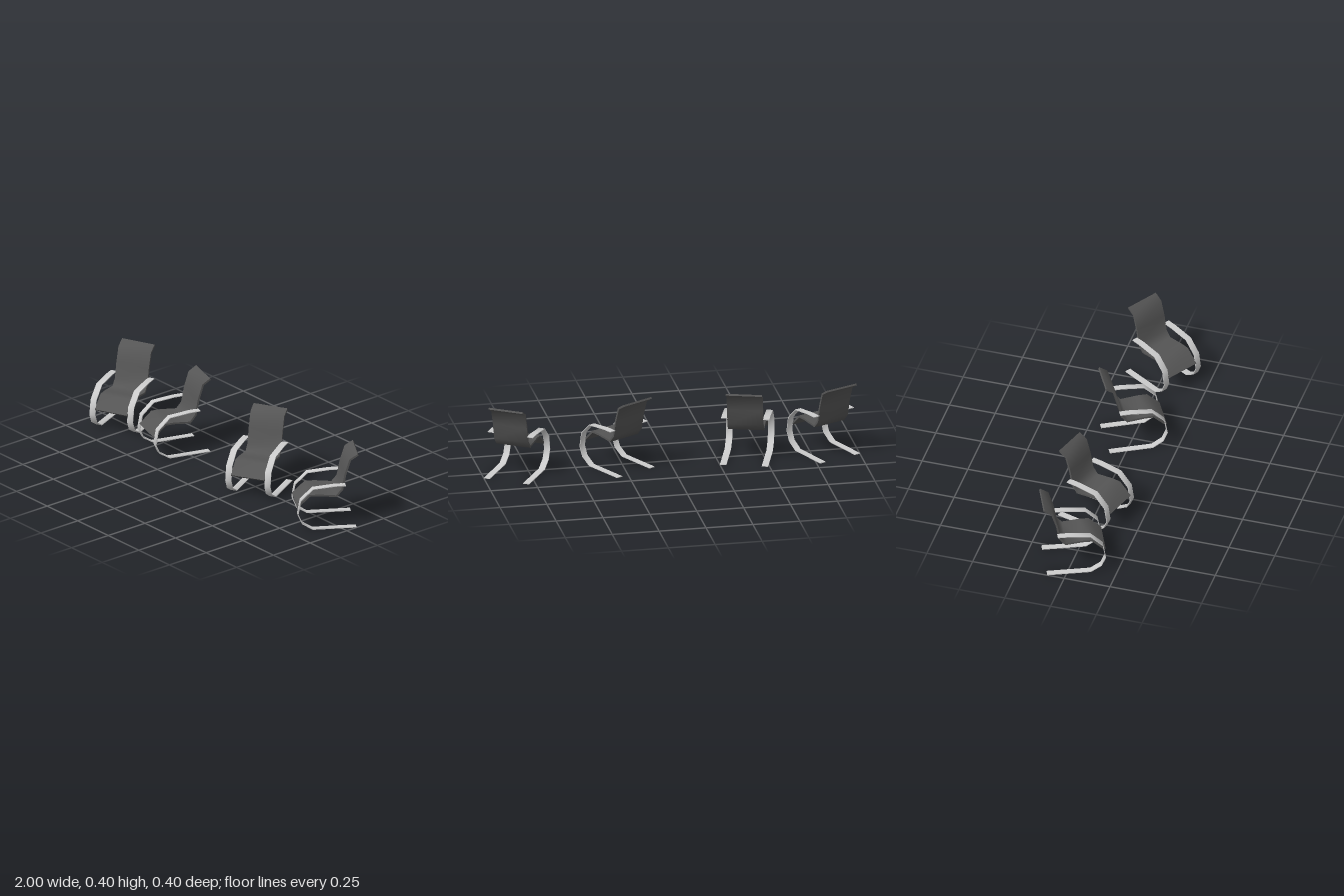
import * as THREE from 'three';
import { toCreasedNormals } from 'three/addons/utils/BufferGeometryUtils.js';

// Side profiles as [z, y] centre lines
const FRAME = [[-0.156, 0.002], [0.074, 0.002], [0.13, 0.037], [0.152, 0.088],
  [0.138, 0.167], [0.073, 0.23], [-0.044, 0.241], [-0.1, 0.241]];
const SEAT = [[-0.169, 0.4], [-0.127, 0.373], [-0.102, 0.293], [-0.0855, 0.208],
  [-0.055, 0.171], [0.037, 0.181], [0.086, 0.181], [0.152, 0.119]];

// Bent strip: thickens a centre line with mitred corners, then extrudes it across x
function bentStrip(points, thickness, width) {
  const p = points.map(([z, y]) => new THREE.Vector2(z, y));
  const normal = (a, b) => new THREE.Vector2(a.y - b.y, b.x - a.x).normalize();
  const sideA = [], sideB = [];
  p.forEach((c, i) => {
    const n1 = normal(p[Math.max(i - 1, 0)], p[Math.max(i, 1)]);
    const n2 = i < p.length - 1 ? normal(c, p[i + 1]) : n1;
    const m = n1.clone().add(n2).normalize();
    m.multiplyScalar(thickness / 2 / m.dot(n1));
    sideA.push(c.clone().add(m));
    sideB.unshift(c.clone().sub(m));
  });
  const geo = new THREE.ExtrudeGeometry(new THREE.Shape([...sideA, ...sideB]),
    { depth: width, bevelEnabled: false });
  geo.translate(0, 0, -width / 2).rotateY(-Math.PI / 2);
  return toCreasedNormals(geo, 1.05);
}

export function createModel() {
  const frameMat = new THREE.MeshStandardMaterial({ color: 0xcccccc });
  const seatMat = new THREE.MeshStandardMaterial({ color: 0x555555 });
  const frameGeo = bentStrip(FRAME, 0.004, 0.034);
  const seatGeo = bentStrip(SEAT, 0.01, 0.19);

  function makeChair() {
    const chair = new THREE.Group();
    const seat = new THREE.Mesh(seatGeo, seatMat);
    seat.name = 'seatAndBack';
    chair.add(seat);
    // Cantilever side frames: runner, front bend and armrest in one strip
    for (const s of [-1, 1]) {
      const frame = new THREE.Mesh(frameGeo, frameMat);
      frame.name = s > 0 ? 'leftFrame' : 'rightFrame';
      frame.position.x = s * 0.11;
      chair.add(frame);
    }
    return chair;
  }

  // Four chairs in two facing pairs: [x, turn in degrees]
  const model = new THREE.Group();
  model.name = 'loungeChairs';
  [[-0.822, 23.7], [-0.417, -17.3], [0.278, 28.5], [0.81, -32]].forEach(([x, turn], i) => {
    const chair = makeChair();
    chair.name = `chair${i + 1}`;
    chair.position.x = x;
    chair.rotation.y = THREE.MathUtils.degToRad(turn);
    model.add(chair);
  });
  return model;
}
